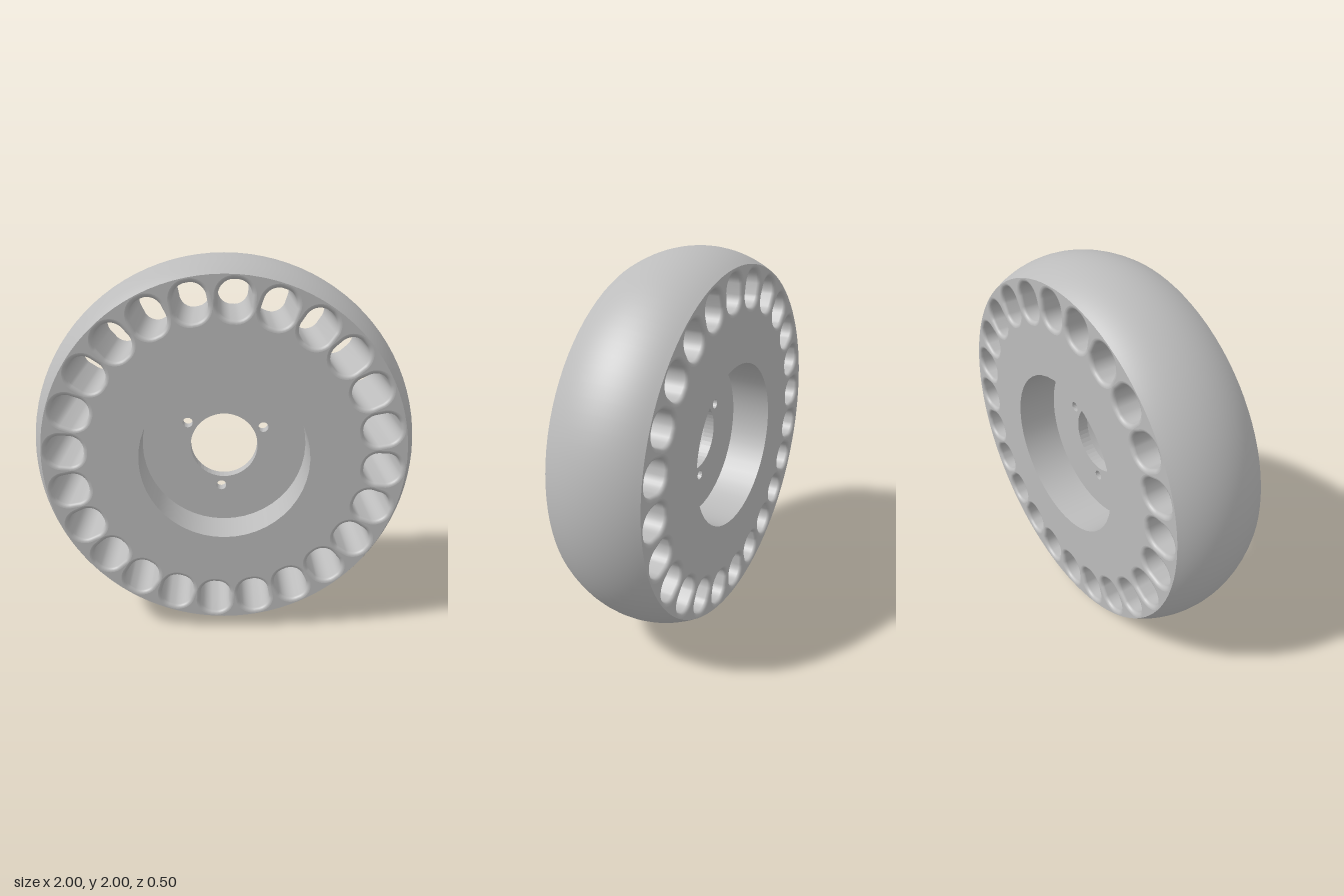
import * as THREE from 'three';

const HALF = 0.25, RIM = 0.93, RECESS = 0.437, WEB = 0.03;
const SLOTS = 24, FILLET = 0.02;
const rad = THREE.MathUtils.degToRad;

// Outline of one radially elongated slot, grown outward by a given offset
function slotOutline(index, grow) {
  const a = rad(86.5) + (index / SLOTS) * Math.PI * 2;
  const pts = [], n = 32, r = 0.075 + grow;
  for (let i = 0; i < n; i++) {
    const t = ((i + 0.5) / n) * Math.PI * 2;
    const u = 0.81 + Math.sign(Math.cos(t)) * 0.02 + r * Math.cos(t);
    const v = Math.sign(Math.sin(t)) * 0.007 + r * Math.sin(t);
    pts.push(new THREE.Vector2(u * Math.cos(a) - v * Math.sin(a), u * Math.sin(a) + v * Math.cos(a)));
  }
  return pts;
}

function circle(r, n, cx = 0, cy = 0) {
  return Array.from({ length: n }, (_, i) => {
    const t = (i / n) * Math.PI * 2;
    return new THREE.Vector2(cx + r * Math.cos(t), cy + r * Math.sin(t));
  });
}

// Flat annular face pierced by the slots; mirrorX = -1 for the back
function faceGeometry(mirrorX) {
  const shape = new THREE.Shape(circle(RIM, 96));
  shape.holes.push(new THREE.Path(circle(RECESS, 48)));
  for (let i = 0; i < SLOTS; i++) {
    const pts = slotOutline(i, FILLET).map(p => new THREE.Vector2(p.x * mirrorX, p.y));
    shape.holes.push(new THREE.Path(pts));
  }
  return new THREE.ShapeGeometry(shape);
}

// Slot wall: outline loops swept through the wheel, with rounded lips
function slotGeometry(index) {
  const sections = [], steps = 5;
  for (let k = 0; k <= steps; k++) {
    const t = (k / steps) * Math.PI / 2;
    sections.push([HALF - FILLET * (1 - Math.cos(t)), FILLET * (1 - Math.sin(t))]);
  }
  for (let k = steps; k >= 0; k--) sections.push([-sections[k][0], sections[k][1]]);
  const pos = [], idx = [];
  let n = 0;
  for (const [z, grow] of sections) {
    const loop = slotOutline(index, grow);
    n = loop.length;
    loop.forEach(p => pos.push(p.x, p.y, z));
  }
  for (let j = 0; j < sections.length - 1; j++) {
    for (let i = 0; i < n; i++) {
      const a = j * n + i, b = j * n + (i + 1) % n;
      idx.push(a, b, a + n, b, b + n, a + n);
    }
  }
  const g = new THREE.BufferGeometry();
  g.setAttribute('position', new THREE.Float32BufferAttribute(pos, 3));
  g.setIndex(idx);
  g.computeVertexNormals();
  return g;
}

export function createModel() {
  const grey = new THREE.MeshStandardMaterial({ color: 0xbcbcbc });
  grey.name = 'plain grey';
  const wheel = new THREE.Group();
  wheel.name = 'wheel';
  const add = (name, geometry, parent = wheel) => {
    const mesh = new THREE.Mesh(geometry, grey);
    mesh.name = name;
    parent.add(mesh);
    return mesh;
  };

  // Crowned tread
  const crown = (HALF ** 2 + (1 - RIM) ** 2) / (2 * (1 - RIM));
  const profile = [];
  for (let i = 0; i <= 24; i++) {
    const z = -HALF + (i / 24) * 2 * HALF;
    profile.push(new THREE.Vector2(1 - crown + Math.sqrt(crown ** 2 - z * z), z));
  }
  add('tread', new THREE.LatheGeometry(profile, 96).rotateX(Math.PI / 2));

  // Side faces
  add('frontFace', faceGeometry(1)).position.z = HALF;
  const back = add('backFace', faceGeometry(-1));
  back.rotation.y = Math.PI;
  back.position.z = -HALF;

  // Ring of slots
  const slots = new THREE.Group();
  slots.name = 'slots';
  wheel.add(slots);
  for (let i = 0; i < SLOTS; i++) add('slot' + (i + 1), slotGeometry(i), slots);

  // Inward-facing wall of the hub recesses on both sides
  const wall = [new THREE.Vector2(RECESS, HALF), new THREE.Vector2(RECESS, -HALF)];
  add('recessWall', new THREE.LatheGeometry(wall, 48).rotateX(Math.PI / 2));

  // Thin hub web with axle bore and three bolt holes
  const web = new THREE.Shape(circle(RECESS, 48));
  web.holes.push(new THREE.Path(circle(0.18, 48)));
  for (let k = 0; k < 3; k++) {
    const a = rad(26.2 + 120 * k);
    web.holes.push(new THREE.Path(circle(0.027, 20, 0.233 * Math.cos(a), 0.233 * Math.sin(a))));
  }
  add('hubWeb', new THREE.ExtrudeGeometry(web, { depth: 2 * WEB, bevelEnabled: false }).translate(0, 0, -WEB));

  wheel.position.y = 1;
  const model = new THREE.Group();
  model.name = 'slottedWheel';
  model.add(wheel);
  return model;
}
